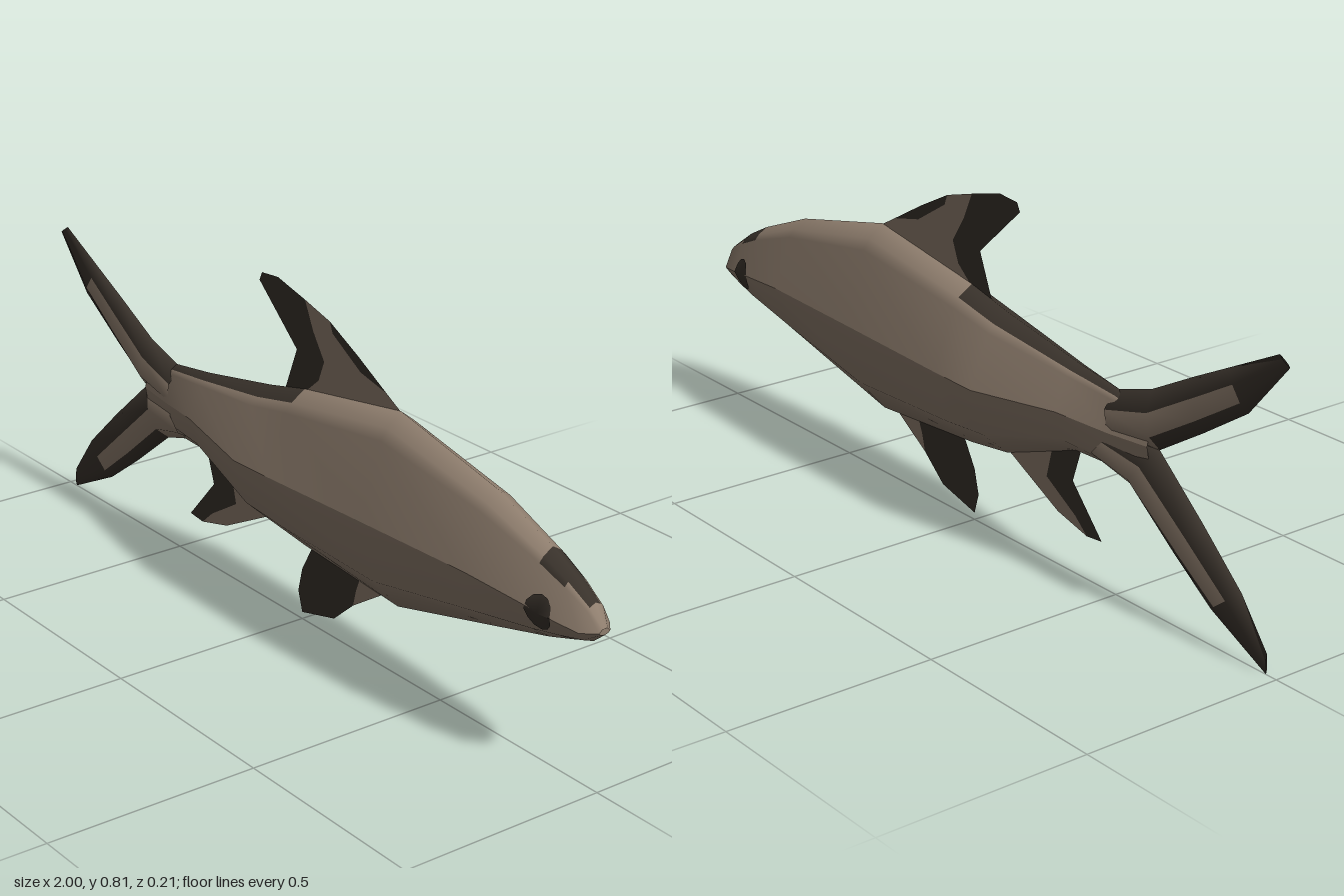
import * as THREE from 'three';

const skin = new THREE.MeshStandardMaterial({ name: 'brown skin', color: 0x8f7e6e, side: THREE.DoubleSide });
const dark = new THREE.MeshStandardMaterial({ name: 'dark markings', color: 0x39322b, side: THREE.DoubleSide });

// Skin rows of points with quads; isDark(x, j) picks the colour of each quad
function loft(name, rows, closed, isDark) {
  const n = rows[0].length, faces = [[], []];
  for (let i = 0; i < rows.length - 1; i++) {
    for (let j = 0; j < (closed ? n : n - 1); j++) {
      const k = (j + 1) % n;
      const a = i * n + j, b = a + n, c = (i + 1) * n + k, d = i * n + k;
      const x = (rows[i][j][0] + rows[i + 1][j][0]) / 2;
      faces[isDark(x, j) ? 1 : 0].push(a, b, d, b, c, d);
    }
  }
  const g = new THREE.BufferGeometry();
  g.setAttribute('position', new THREE.Float32BufferAttribute(rows.flat(2), 3));
  g.setIndex([...faces[0], ...faces[1]]);
  g.addGroup(0, faces[0].length, 0);
  g.addGroup(faces[0].length, faces[1].length, 1);
  g.computeVertexNormals();
  const m = new THREE.Mesh(g, [skin, dark]);
  m.name = name;
  return m;
}

// Body stations: x, back height, side ridge height, belly height, half width
const stations = [
  [-0.61, 0.44, 0.39, 0.34, 0.018],
  [-0.50, 0.48, 0.39, 0.30, 0.035],
  [-0.36, 0.50, 0.40, 0.295, 0.062],
  [-0.12, 0.545, 0.385, 0.21, 0.105],
  [0.01, 0.575, 0.388, 0.193, 0.105],
  [0.35, 0.63, 0.40, 0.17, 0.105],
  [0.67, 0.56, 0.40, 0.25, 0.09],
  [0.84, 0.495, 0.382, 0.293, 0.068],
  [0.91, 0.46, 0.372, 0.315, 0.056],
  [0.97, 0.42, 0.364, 0.335, 0.042],
  [1.0, 0.375, 0.367, 0.36, 0.015],
];

// Point of a body section: fraction of half width, fraction of height above/below the ridge
const sectionPoint = ([x, top, ridge, belly, w], fz, fy) =>
  [x, ridge + fy * (fy > 0 ? top - ridge : ridge - belly), fz * w];

const upperProfile = [[1, 0], [0.52, 0.76], [0.36, 0.87], [0, 1], [-0.36, 0.87], [-0.52, 0.76], [-1, 0]];
const lowerProfile = [[-1, 0], [-0.67, -0.65], [0, -1], [0.67, -0.65], [1, 0]];

// Half width of the flank at a given x and y
function flankZ(x, y) {
  const i = stations.findIndex((s) => s[0] > x);
  const p = stations[i - 1], q = stations[i], t = (x - p[0]) / (q[0] - p[0]);
  const [, top, ridge, belly, w] = p.map((v, k) => v + (q[k] - v) * t);
  return y > ridge
    ? w * (1 - 0.48 * (y - ridge) / (top - ridge) / 0.76)
    : w * (1 - 0.33 * (ridge - y) / (ridge - belly) / 0.65);
}

// Eye patch wrapped over the flank
function eye(side) {
  const g = new THREE.CircleGeometry(1, 12);
  const p = g.attributes.position;
  for (let i = 0; i < p.count; i++) {
    const x = 0.868 + 0.034 * p.getX(i) * side, y = 0.375 + 0.04 * p.getY(i);
    p.setXYZ(i, x, y, side * (flankZ(x, y) + 0.003));
  }
  g.computeVertexNormals();
  const m = new THREE.Mesh(g, dark);
  m.name = side > 0 ? 'frontEye' : 'backEye';
  return m;
}

// Tail lobe from rows of [lead x, lead y, trail x, trail y, half thickness]
function lobe(name, rows, f1, f2, flip, isDark) {
  const rings = rows.map(([ax, ay, bx, by, t]) => {
    const at = (f, z) => [ax + (bx - ax) * f, ay + (by - ay) * f, z];
    return [at(0, 0), at(f1, t), at(f2, t), at(1, 0), at(f2, -t), at(f1, -t)];
  });
  if (flip) rings.reverse();
  return loft(name, rings, true, isDark);
}

// Flat fin piece
function fin(name, points, material) {
  const shape = new THREE.Shape(points.map(([x, y]) => new THREE.Vector2(x, y)));
  const m = new THREE.Mesh(new THREE.ShapeGeometry(shape), material);
  m.name = name;
  return m;
}

export function createModel() {
  const fish = new THREE.Group();
  fish.name = 'fish';

  // Body: two shells meeting in a sharp ridge along each flank
  const backMark = (x, j) => {
    const crown = j === 2 || j === 3, shoulder = j === 1 || j === 4;
    return (crown && (x < 0 || (x > 0.84 && x < 0.96))) || (shoulder && x > 0.84 && x < 0.91);
  };
  const shell = (profile) => stations.map((s) => profile.map(([fz, fy]) => sectionPoint(s, fz, fy)));
  fish.add(loft('upperBody', shell(upperProfile), false, backMark));
  fish.add(loft('lowerBody', shell(lowerProfile), false, () => false));

  // Blunt snout tip
  const tip = [...upperProfile, ...lowerProfile.slice(1, -1)].map(([fz, fy]) =>
    sectionPoint(stations[stations.length - 1], fz, fy));
  fish.add(loft('snout', [tip, tip.map(() => [1.0, 0.367, 0])], true, () => false));

  fish.add(eye(1), eye(-1));

  // Forked tail
  fish.add(lobe('upperTailLobe', [
    [-0.48, 0.475, -0.50, 0.37, 0.032],
    [-0.60, 0.512, -0.63, 0.385, 0.024],
    [-0.73, 0.58, -0.76, 0.465, 0.017],
    [-0.83, 0.63, -0.89, 0.55, 0.011],
    [-0.97, 0.70, -1.0, 0.68, 0.002],
  ], 0.35, 0.75, false, (x, j) => x < -0.83 || j === 0 || j === 5 || (x < -0.63 && (j === 2 || j === 3))));
  fish.add(lobe('lowerTailLobe', [
    [-0.43, 0.31, -0.52, 0.40, 0.034],
    [-0.54, 0.278, -0.63, 0.385, 0.024],
    [-0.68, 0.17, -0.77, 0.265, 0.016],
    [-0.80, 0.085, -0.89, 0.155, 0.01],
    [-0.97, 0.003, -0.97, 0.05, 0.002],
  ], 0.2, 0.58, true, (x, j) => x < -0.82 || (x < -0.55 && j !== 1 && j !== 4)));

  // Dorsal fin
  fish.add(fin('dorsalFin', [[0.35, 0.628], [0.30, 0.655], [0.21, 0.675], [0.11, 0.735], [0.10, 0.76],
    [0.01, 0.785], [0.04, 0.72], [0.08, 0.66], [0.06, 0.61], [0.0, 0.56], [0.34, 0.61]], skin));
  fish.add(fin('dorsalFinEdge', [[0.30, 0.655], [0.20, 0.71], [0.10, 0.76], [0.11, 0.735], [0.21, 0.675]], dark));
  fish.add(fin('dorsalFinRear', [[0.01, 0.785], [-0.09, 0.81], [-0.15, 0.805], [-0.16, 0.785], [-0.02, 0.66],
    [-0.065, 0.55], [0.0, 0.56], [0.06, 0.61], [0.08, 0.66], [0.04, 0.72]], dark));

  // Pelvic fin
  fish.add(fin('pelvicFin', [[0.30, 0.18], [0.19, 0.11], [0.20, 0.15], [0.22, 0.2], [0.29, 0.2]], skin));
  fish.add(fin('pelvicFinRear', [[0.22, 0.2], [0.20, 0.15], [0.19, 0.11], [0.12, 0.05], [0.0, 0.02],
    [-0.015, 0.07], [0.0, 0.13], [0.04, 0.2]], dark));

  // Anal fin
  fish.add(fin('analFin', [[-0.13, 0.215], [-0.30, 0.13], [-0.40, 0.105], [-0.36, 0.14], [-0.26, 0.2],
    [-0.28, 0.28], [-0.14, 0.23]], skin));
  fish.add(fin('analFinRear', [[-0.45, 0.11], [-0.40, 0.105], [-0.36, 0.14], [-0.26, 0.2], [-0.28, 0.28],
    [-0.38, 0.31], [-0.35, 0.22]], dark));

  return fish;
}
